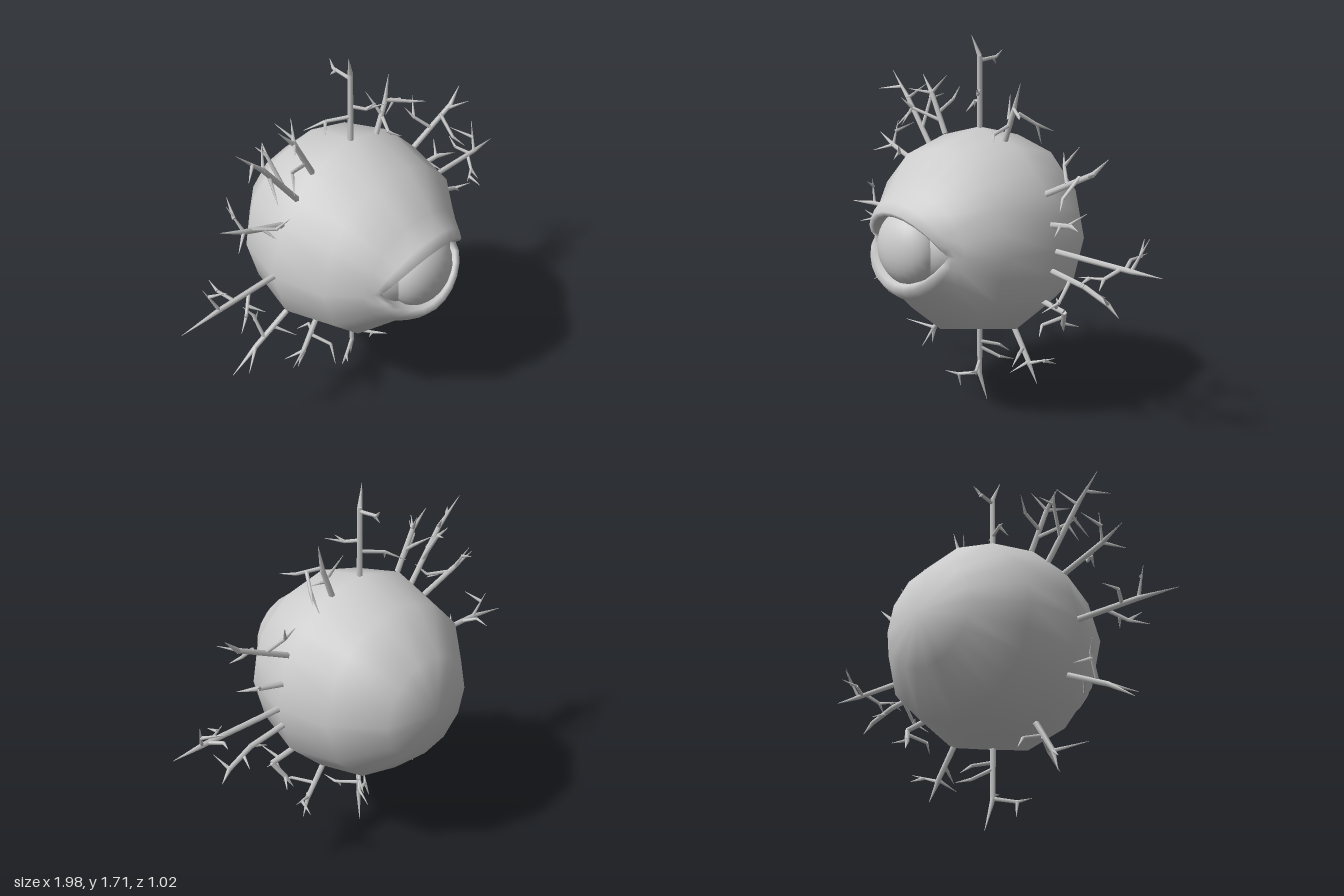
import * as THREE from 'three';
import { mergeVertices, mergeGeometries } from 'three/addons/utils/BufferGeometryUtils.js';

const grey = new THREE.MeshStandardMaterial({ color: 0xcccccc });
grey.name = 'pale grey';

const CX = -0.03, CY = 0.833, CZ = -0.02, R = 0.477, SEG = 24;

// Twelve-sided outline with the chord midpoints filled in
function roundRing(r, z) {
  return (a) => {
    const step = Math.PI / 6, off = ((a % step) + step) % step - step / 2;
    const k = r * Math.cos(step / 2) / Math.cos(off);
    return [k * Math.cos(a), k * Math.sin(a), z];
  };
}

// Almond outline whose depth changes from the eye corners to the lid middles
function lidRing(rx, ry, zCorner, zLid, point = 0.3) {
  return (a) => {
    const s = Math.abs(Math.sin(a));
    return [rx * Math.cos(a), ry * Math.sin(a) * Math.pow(s + 1e-6, point), zCorner + (zLid - zCorner) * s];
  };
}

function bodyGeometry() {
  const rings = [];
  for (let i = 0; i <= 4; i++) {
    const t = (i / 6) * Math.PI;
    rings.push(roundRing(R * Math.sin(t), CZ - 0.49 * Math.cos(t)));
  }
  rings.push(
    lidRing(0.30, 0.26, 0.345, 0.375, 0.1), // crease around the lids
    lidRing(0.265, 0.208, 0.37, 0.462, 0.15),
    lidRing(0.25, 0.17, 0.385, 0.497),      // lid ridge
    lidRing(0.232, 0.148, 0.38, 0.478),     // opening
    lidRing(0.21, 0.14, 0.33, 0.38),
  );
  const pos = [], idx = [];
  rings.forEach((ring, i) => {
    for (let j = 0; j < SEG; j++) {
      pos.push(...ring((j / SEG) * Math.PI * 2));
      if (i === rings.length - 1) continue;
      const k = (j + 1) % SEG, a = i * SEG + j, b = i * SEG + k;
      if (i > 0) idx.push(a, b, b + SEG);
      idx.push(a, b + SEG, a + SEG);
    }
  });
  const g = new THREE.BufferGeometry();
  g.setAttribute('position', new THREE.Float32BufferAttribute(pos, 3));
  g.setIndex(idx);
  const merged = mergeVertices(g, 1e-4);
  merged.computeVertexNormals();
  return merged;
}

// Tapered five-sided stick between two points
function stick(p, q, r0, r1) {
  const d = q.clone().sub(p);
  const g = new THREE.CylinderGeometry(r1, r0, d.length(), 5, 1);
  g.applyQuaternion(new THREE.Quaternion().setFromUnitVectors(new THREE.Vector3(0, 1, 0), d.normalize()));
  return g.translate(...p.clone().add(q).multiplyScalar(0.5).toArray());
}

// A branch: the first path is the trunk, the rest are twigs; x, y, z in hundredths
function branch(group, name, ...paths) {
  const parts = [];
  paths.forEach((path, n) => {
    const pts = [];
    for (let i = 0; i < path.length; i += 3) {
      pts.push(new THREE.Vector3(path[i], path[i + 1], path[i + 2]).multiplyScalar(0.01));
    }
    const base = n ? 0.009 : 0.014, last = pts.length - 1;
    for (let i = 0; i < last; i++) {
      const r0 = base * (1 - 0.3 * i / last);
      parts.push(stick(pts[i], pts[i + 1], r0, i === last - 1 ? 0.001 : base * (1 - 0.3 * (i + 1) / last)));
    }
  });
  const mesh = new THREE.Mesh(mergeGeometries(parts), grey);
  mesh.name = name;
  group.add(mesh);
}

export function createModel() {
  const model = new THREE.Group();
  model.name = 'eyeCreature';

  const body = new THREE.Mesh(bodyGeometry(), grey);
  body.name = 'bodyAndEyelids';
  body.position.set(CX, CY, 0);
  model.add(body);

  // Eyeball and its raised round front
  for (const [name, z, sx, sy, sz] of [['eyeball', 0.30, 0.255, 0.17, 0.155], ['cornea', 0.40, 0.165, 0.165, 0.112]]) {
    const m = new THREE.Mesh(new THREE.SphereGeometry(1, 24, 16), grey);
    m.name = name;
    m.scale.set(sx, sy, sz);
    m.position.set(CX, CY, z);
    model.add(m);
  }

  const b = new THREE.Group();
  b.name = 'branches';
  model.add(b);

  branch(b, 'topBranch', [-3, 128, -2, -3, 162, -2, -6, 171, 0],
    [-3, 160, -2, -3, 161, -12, -2, 164, -15], [-3, 161, -10, -4, 158, -13],
    [-3, 147, -2, 1, 146, 3, 8, 148, 8], [1, 146, 3, 4, 149, 6],
    [-3, 142, -2, -12, 141, -8, -19, 137, -14], [-12, 141, -8, -15, 136, -5]);
  branch(b, 'upperLeftBranch', [12, 124, -2, 18, 140, -2, 21, 152, -3],
    [15, 136, -2, 11, 146, -7], [18, 141, -2, 27, 139, 4, 32, 139, 9],
    [24, 140, 1, 28, 135, -6, 27, 126, -10], [28, 135, -6, 32, 132, -12], [16, 134, -2, 13, 130, 5, 17, 128, 9]);
  branch(b, 'shoulderLeftBranch', [38, 107, -2, 63, 119, -2, 70, 126, -3],
    [61, 118, -2, 69, 121, 4], [56, 117, -2, 55, 109, 7, 58, 105, 12],
    [49, 113, -2, 43, 119, -7, 40, 124, -10], [43, 119, -7, 47, 127, -12]);
  branch(b, 'smallLeftBranch', [40, 94, -2, 53, 96, 0, 61, 96, 4], [52, 96, 0, 57, 101, -6], [47, 95, -1, 50, 92, 6]);
  branch(b, 'leftBranch', [43, 83, -2, 84, 83, -2, 98.5, 83, -3],
    [84, 83, -2, 88, 96, -8], [86, 89, -5, 80, 93, -15],
    [79, 83, -2, 75, 79, 4, 66, 79, 9], [75, 79, 4, 76, 75, 8], [70, 79, 7, 70, 77, 14],
    [81, 83, -2, 78, 85, -9, 81, 87, -16]);
  branch(b, 'lowLeftBranch', [41, 74, -2, 60, 71, -2, 72, 66, -3, 77, 61, -4],
    [72, 66, -3, 75, 71, 4], [52, 72, -2, 53, 64, 6, 47, 59, 10], [53, 64, 6, 48, 64, 2], [64, 69, -2, 66, 66, -9]);
  branch(b, 'underLeftBranch', [37, 59, -2, 49, 57, -2, 45, 50, -6, 43, 45, -9],
    [45, 50, -6, 49, 48, -12], [45, 58, -2, 49, 63, 6], [47, 54, -4, 42, 51, 4, 44, 47, 8]);
  branch(b, 'bottomLeftBranch', [19, 43, -2, 29, 28, -2, 33, 19, -3],
    [29, 28, -2, 40, 32, -7], [35, 30, -5, 36, 27, -12], [29, 29, -2, 24, 24, 5], [25, 34, -2, 31, 35, 7, 32, 31, 12]);
  branch(b, 'bottomBranch', [-3, 38, -2, -3, 14, -2, -1, 0, -5],
    [-3, 14, -2, -12, 12, 3, -16, 14, 8], [-12, 12, 3, -13, 5, 1], [-3, 20, -2, 4, 19, 7, 6, 21, 13],
    [-3, 27, -2, 3, 22, -9, 5, 19, -17], [-2, 30, -2, 3, 28, -9, 5, 24, -14], [3, 19, 6, 2, 16, 5]);
  branch(b, 'bottomRightBranch', [-26, 43, -2, -35, 28, -2, -38, 19, -3],
    [-35, 28, -2, -48, 31, 5], [-35, 28, -2, -42, 23, -8], [-30, 35, -2, -26, 32, 7, -28, 24, 12],
    [-29, 36, -2, -25, 34, -9, -27, 28, -15]);
  branch(b, 'lowRightBranch', [-44, 59, -2, -63, 50, -2, -76, 41, -3],
    [-63, 50, -2, -73, 46, 5], [-58, 53, -2, -59, 63, -7, -62, 68, -10], [-59, 61, -6, -53, 59, -11],
    [-52, 55, -2, -46, 51, 6]);
  branch(b, 'rightBranch', [-50, 83, -2, -80, 83, -2, -99, 81, -3],
    [-80, 83, -2, -85, 95, -5], [-83, 91, -4, -79, 95, 3],
    [-72, 83, -2, -75, 86, -9, -73, 86, -17], [-64, 83, -2, -71, 78, 4, -78, 76, 9],
    [-71, 78, 4, -75, 82, 8], [-68, 80, 2, -64, 78, 8]);
  branch(b, 'shoulderRightBranch', [-43, 107, -2, -64, 115, -2, -75, 120, -3],
    [-64, 115, -2, -72, 112, 4], [-64, 115, -2, -67, 126, -8], [-66, 121, -5, -62, 125, -14],
    [-60, 114, -2, -52, 113, 4, -48, 118, 8], [-56, 113, 1, -54, 110, 6]);
  branch(b, 'upperRightBranch', [-35, 116, -2, -52, 139, -2, -64, 151, -3],
    [-57, 144, -2, -65, 143, 5], [-52, 139, -2, -46, 146, -9], [-49, 134, -2, -52, 126, 6],
    [-42, 126, -2, -44, 139, -9, -41, 141, -15], [-44, 139, -9, -47, 143, -12]);
  branch(b, 'crownRightBranch', [-26, 125, -2, -35, 143, -2, -42, 151, -3],
    [-35, 143, -2, -31, 151, -8], [-35, 143, -2, -42, 145, 6], [-30, 131, -2, -42, 136, 4, -45, 128, 8],
    [-42, 136, 4, -44, 141, 9], [-31, 134, -2, -29, 140, -10, -32, 145, -17]);

  return model;
}
